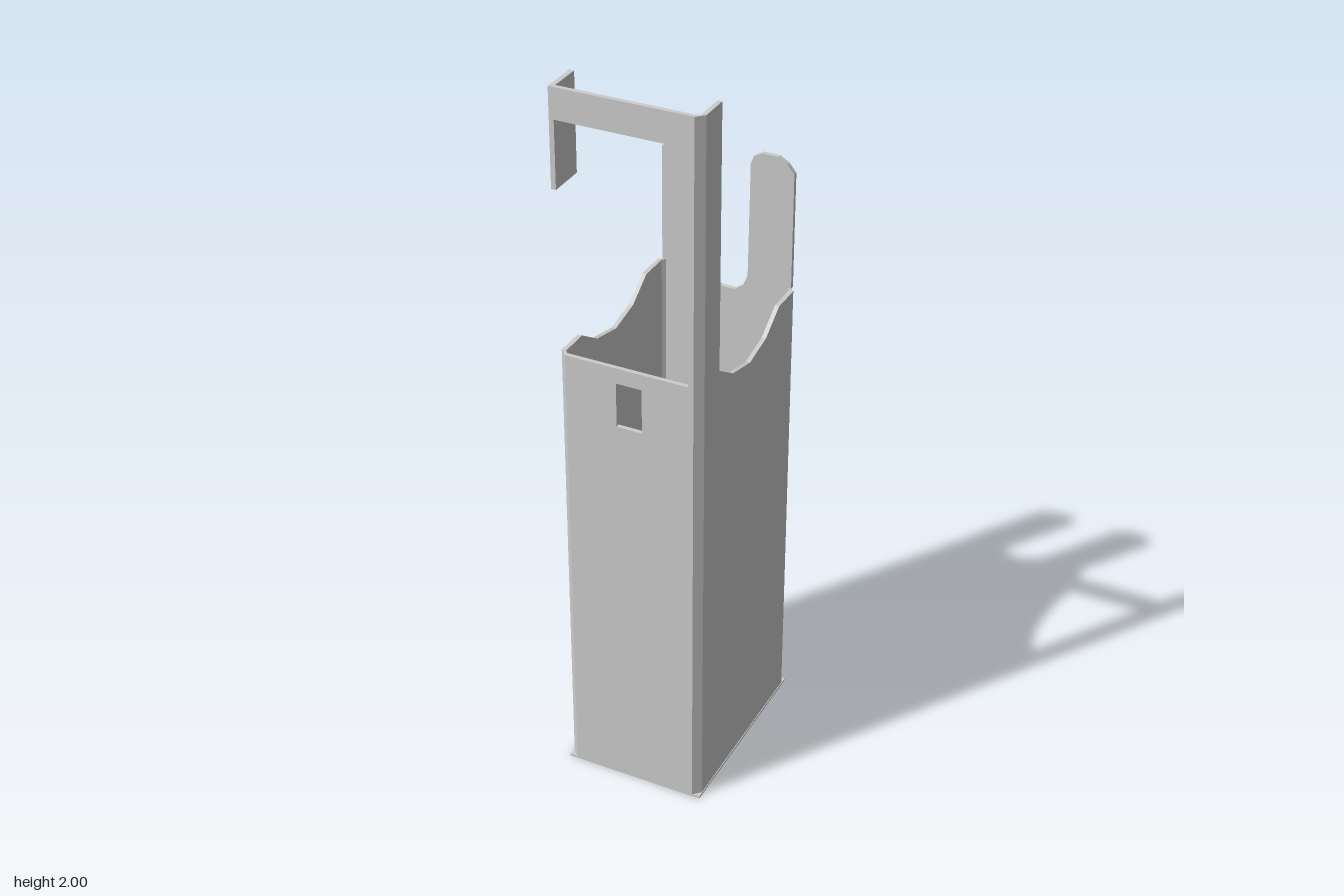
import * as THREE from 'three';

const X = 0.195, Z = 0.28;      // outer half width and half depth
const T = 0.012;                // wall thickness
const CX = 0.175, CZ = 0.26;    // where the flat walls end and the corner bevels begin
const RIM = 1.29, TOP = 2;      // height of the box rim and of the hook

const material = new THREE.MeshStandardMaterial({ color: 0xcccccc, flatShading: true });

function outline(points, Type = THREE.Shape) {
  return new Type(points.map(([x, y]) => new THREE.Vector2(x, y)));
}

function addMesh(group, name, geometry) {
  const mesh = new THREE.Mesh(geometry, material);
  mesh.name = name;
  group.add(mesh);
  return mesh;
}

// Flat sheet: an outline given thickness
function sheet(group, name, shape, depth = T) {
  return addMesh(group, name, new THREE.ExtrudeGeometry(shape, { depth, bevelEnabled: false }));
}

export function createModel() {
  const group = new THREE.Group();

  // Front wall, continuing up the post and across the hook bar
  const front = outline([
    [-CX, 0], [CX, 0], [CX, TOP], [-0.198, TOP], [-0.198, 1.918],
    [0.16, 1.918], [0.16, RIM], [-CX, RIM],
  ]);
  front.holes.push(outline([[-0.035, 1.122], [-0.035, 1.247], [0.035, 1.247], [0.035, 1.122]], THREE.Path));
  sheet(group, 'frontWall', front).position.z = Z - T;

  // Back wall with two rounded prongs and a slot between them
  const back = outline([
    [-CX, 0], [CX, 0], [CX, RIM], [0.185, RIM], [0.185, 1.615], [0.165, 1.64], [0.14, 1.655],
    [0.095, 1.655], [0.073, 1.642], [0.065, 1.62], [0.062, 1.3], [0.05, 1.268], [0.025, 1.25],
    [-0.015, 1.25], [-0.045, 1.265], [-0.062, 1.3], [-0.066, 1.62], [-0.075, 1.642], [-0.095, 1.655],
    [-0.14, 1.655], [-0.165, 1.64], [-0.185, 1.615], [-0.185, RIM], [-CX, RIM],
  ]);
  sheet(group, 'backWall', back).position.z = -Z;

  // Side walls with a scooped rim; the left one carries the post
  const scoop = [[-0.178, RIM], [-0.1, 1.24], [0, 1.217], [0.095, 1.237], [0.172, RIM], [CZ, RIM]];
  for (const s of [-1, 1]) {
    const frontEdge = s > 0 ? [[-CZ, TOP], [-0.178, TOP]] : [[-CZ, RIM]];
    const wall = sheet(group, s > 0 ? 'leftWall' : 'rightWall',
      outline([[CZ, 0], [-CZ, 0], ...frontEdge, ...scoop]));
    wall.rotation.y = Math.PI / 2;   // shape x becomes -z
    wall.position.x = s > 0 ? X - T : -X;
  }

  // Bevelled corners; the front left one runs to the top of the post
  for (const sx of [-1, 1]) for (const sz of [-1, 1]) {
    const shape = outline([[CX, Z], [X, CZ], [X - T, CZ], [CX, Z - T]].map(([x, z]) => [sx * x, -sz * z]));
    const corner = sheet(group, 'corner', shape, sx > 0 && sz > 0 ? TOP : RIM);
    corner.rotation.x = -Math.PI / 2;
  }

  // Flange hanging from the free end of the hook bar
  const flange = addMesh(group, 'hookFlange', new THREE.BoxGeometry(0.013, 0.262, 0.102));
  flange.position.set(-0.1915, 1.869, 0.229);

  // Square-cornered lip around the foot
  const rect = (x, z) => [[-x, -z], [x, -z], [x, z], [-x, z]];
  const lip = outline(rect(0.197, Z));
  lip.holes.push(outline(rect(X - T, Z - T).reverse(), THREE.Path));
  sheet(group, 'footLip', lip, 0.006).rotation.x = -Math.PI / 2;

  // Floor, set a little above the foot
  const floor = addMesh(group, 'floor', new THREE.BoxGeometry(2 * (X - T), T, 2 * (Z - T)));
  floor.position.y = 0.041;

  return group;
}
